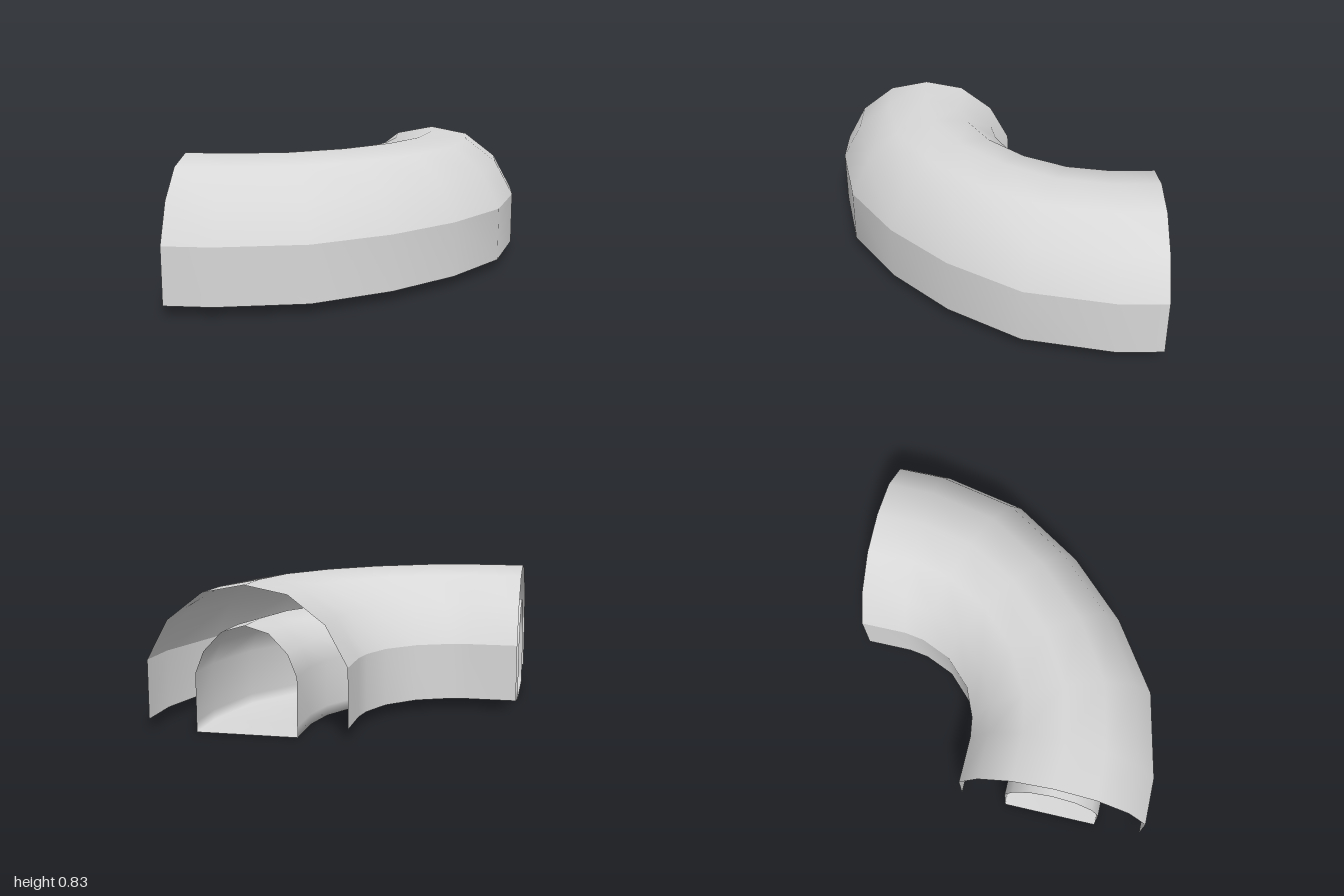
import * as THREE from 'three';

// Plan of the bend as [x, z]: first half, from the left-hand mouth to the middle
const OUTER_HALF = [[-1, 1], [-0.715, 1], [-0.19, 0.885], [0.245, 0.6]];
const INNER_HALF = [[-1, -0.145], [-0.715, -0.145], [-0.59, -0.165], [-0.405, -0.245]];

// The plan is symmetric about the diagonal, so the second half swaps x and z
const mirrorPlan = half => [...half, ...half.map(([x, z]) => [z, x]).reverse()].map(
  ([x, z]) => new THREE.Vector2(x, z));

const HALF_WIDTH = 0.5725;

// Sweeps a cross-section of [offset from centreline, height] along the bend
function sweep(name, profile, material, closed = false) {
  const outer = mirrorPlan(OUTER_HALF);
  const inner = mirrorPlan(INNER_HALF);
  const positions = [];
  const indices = [];
  const n = profile.length;
  outer.forEach((o, i) => {
    for (const [offset, y] of profile) {
      const p = inner[i].clone().lerp(o, 0.5 + offset / (2 * HALF_WIDTH));
      positions.push(p.x, y, p.y);
    }
  });
  for (let i = 0; i < outer.length - 1; i++) {
    for (let j = 0; j < (closed ? n : n - 1); j++) {
      const a = i * n + j;
      const b = i * n + (j + 1) % n;
      indices.push(a, a + n, b, b, a + n, b + n);
    }
  }
  const geometry = new THREE.BufferGeometry();
  geometry.setAttribute('position', new THREE.Float32BufferAttribute(positions, 3));
  geometry.setIndex(indices);
  geometry.computeVertexNormals();
  const mesh = new THREE.Mesh(geometry, material);
  mesh.name = name;
  return mesh;
}

// Completes an arch from its outer half, which ends at the crown
const arch = half => [...half, ...half.slice(0, -1).reverse().map(([u, y]) => [-u, y])];

export function createModel() {
  const group = new THREE.Group();
  group.name = 'curvedTunnel';
  const grey = new THREE.MeshStandardMaterial({ color: 0xd8d8d8, side: THREE.DoubleSide });
  grey.name = 'grey';

  // Outer cover: arched roof on two upright walls, open below and at both ends
  const w = HALF_WIDTH;
  group.add(sweep('coverRoof', arch([[w, 0.4], [0.448, 0.628], [0.243, 0.785], [0, 0.832]]), grey));
  group.add(sweep('coverOuterWall', [[w, 0.06], [w, 0.4]], grey));
  group.add(sweep('coverInnerWall', [[-w, 0.4], [-w, 0.06]], grey));

  // Inner duct: smaller arched tube with a flat floor, open at both ends
  group.add(sweep('innerDuct',
    arch([[0.29, 0], [0.29, 0.06], [0.29, 0.335], [0.24, 0.46], [0.135, 0.57], [0, 0.61]]), grey, true));

  return group;
}
